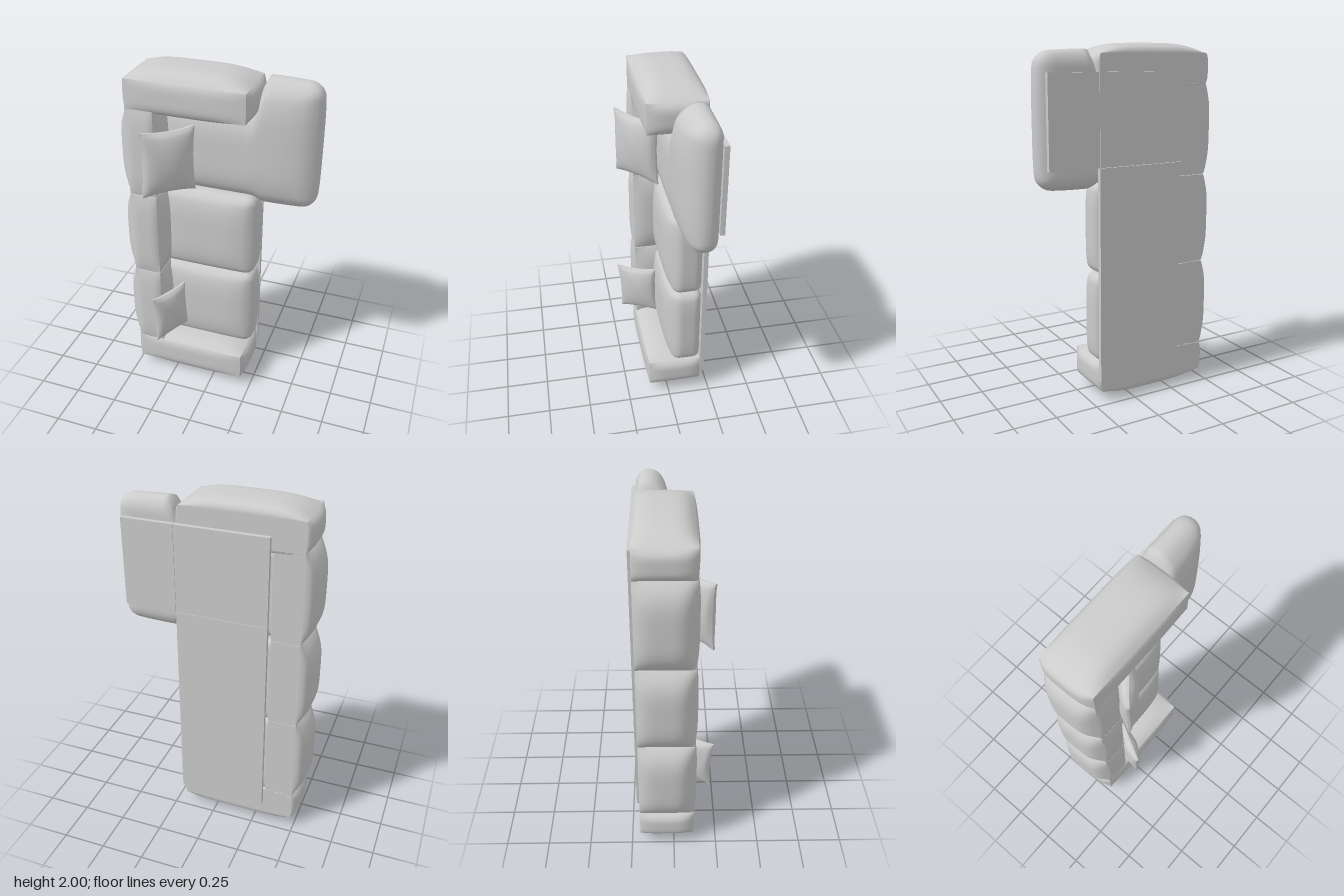
import * as THREE from 'three';
import { mergeVertices } from 'three/addons/utils/BufferGeometryUtils.js';

const material = new THREE.MeshStandardMaterial({ color: 0xcccccc });
const FLOOR = -0.2; // plane on which all the upholstery rests

// Runs a rule over every vertex, then recomputes the normals
function warp(geometry, rule, smooth) {
  const pos = geometry.attributes.position;
  const p = new THREE.Vector3();
  for (let i = 0; i < pos.count; i++) {
    p.fromBufferAttribute(pos, i);
    rule(p);
    pos.setXYZ(i, p.x, p.y, p.z);
  }
  if (smooth) {
    geometry.deleteAttribute('uv');
    geometry.deleteAttribute('normal');
    geometry = mergeVertices(geometry, 1e-5);
  }
  geometry.computeVertexNormals();
  return geometry;
}

// Stuffed box: rounded by a radius, then each face swells by its own amount.
// swell = [-x, +x, -y, +y, -z, +z]; radius 0 keeps sharp piped edges.
function cushion(name, min, max, swell, radius = 0, extra = null) {
  const lo = new THREE.Vector3(...min), hi = new THREE.Vector3(...max);
  const size = hi.clone().sub(lo), mid = lo.clone().add(hi).multiplyScalar(0.5);
  const half = size.clone().multiplyScalar(0.5);
  const inner = half.clone().subScalar(radius);
  const c = new THREE.Vector3();
  const flat = t => 1 - t ** 4;
  const geo = warp(new THREE.BoxGeometry(size.x, size.y, size.z, 36, 36, 18), p => {
    if (radius > 0) {
      c.copy(p).clamp(inner.clone().negate(), inner);
      p.sub(c).normalize().multiplyScalar(radius).add(c);
    }
    const u = p.x / half.x, v = p.y / half.y, w = p.z / half.z;
    p.x += u * swell[u < 0 ? 0 : 1] * flat(v) * flat(w);
    p.y += v * swell[v < 0 ? 2 : 3] * flat(u) * flat(w);
    p.z += w * swell[w < 0 ? 4 : 5] * flat(u) * flat(v);
    p.add(mid);
    if (extra) extra(p);
    p.z = Math.max(p.z, FLOOR);
  }, radius > 0);
  const mesh = new THREE.Mesh(geo, material);
  mesh.name = name;
  return mesh;
}

// Scatter pillow: thick in the middle, thin seam, sides drawn in between the corners
function pillow(name, w, h, depth, position, turn, tilt) {
  const geo = warp(new THREE.BoxGeometry(2, 2, 2, 24, 24, 2), p => {
    const u = p.x, v = p.y;
    const puff = Math.sqrt((1 - u * u) * (1 - v * v));
    const wrinkle = 0.06 * Math.sin(5 * u + 3 * v) * puff;
    p.x = u * w / 2 * (1 - 0.08 * (1 - v * v));
    p.y = v * h / 2 * (1 - 0.08 * (1 - u * u));
    p.z *= depth / 2 * (0.12 + 0.88 * puff + wrinkle);
  }, false);
  const mesh = new THREE.Mesh(geo, material);
  mesh.name = name;
  mesh.position.set(...position);
  mesh.rotation.set(0, turn, tilt, 'YXZ');
  return mesh;
}

function panel(name, x0, x1, y0, y1) {
  const mesh = new THREE.Mesh(new THREE.BoxGeometry(x1 - x0, y1 - y0, 0.026), material);
  mesh.name = name;
  mesh.position.set((x0 + x1) / 2, (y0 + y1) / 2, -0.212);
  return mesh;
}

export function createModel() {
  const group = new THREE.Group();
  group.name = 'cornerSofa';

  // Armrests at both ends, swelling most on the outside
  group.add(
    cushion('upperArmrest', [-0.48, 1.78, -0.22], [0.19, 1.945, 0.115], [0.035, 0.03, 0.04, 0.055, 0, 0.013]),
    cushion('lowerArmrest', [-0.48, 0.06, -0.22], [0.19, 0.225, 0.115], [0.035, 0.03, 0.06, 0.035, 0, 0.013]),
  );

  // Three back cushions
  for (let i = 0; i < 3; i++) {
    const y = 0.23 + i * 0.518;
    group.add(cushion('backCushion' + (i + 1), [-0.48, y, -0.22], [-0.322, y + 0.514, 0.115],
      [0.07, 0.035, 0.003, 0.003, 0, 0.015]));
  }

  // Two seat cushions
  for (let i = 0; i < 2; i++) {
    const y = 0.23 + i * 0.518;
    group.add(cushion('seatCushion' + (i + 1), [-0.4, y, FLOOR], [0.2, y + 0.515, -0.03],
      [0, 0.02, 0.003, 0.003, 0, 0.04], 0.045));
  }

  // Chaise: narrow between the seat and the arm, widening past the arm's end
  group.add(cushion('chaiseCushion', [-0.4, 1.247, FLOOR], [0.53, 1.953, -0.055],
    [0, 0.015, 0.015, 0.015, 0, 0.062], 0.07, p => {
      const t = THREE.MathUtils.smoothstep(p.x, 0.17, 0.25);
      const narrow = THREE.MathUtils.mapLinear(p.y, 1.235, 1.965, 1.268, 1.8);
      p.y = THREE.MathUtils.lerp(narrow, p.y, t);
    }));

  // Scatter pillows leaning on the back cushions
  group.add(
    pillow('largePillow', 0.31, 0.385, 0.11, [-0.245, 1.5, 0.105], 0.72, 0),
    pillow('smallPillow', 0.25, 0.32, 0.09, [-0.265, 0.472, 0.11], 1.08, 0.06),
  );

  // Base panels under the seats and the chaise
  group.add(
    panel('seatBase', -0.305, 0.208, 0.13, 1.35),
    panel('cornerBase', -0.305, 0.208, 1.352, 1.85),
    panel('chaiseBase', 0.21, 0.503, 1.352, 1.85),
  );
  return group;
}
